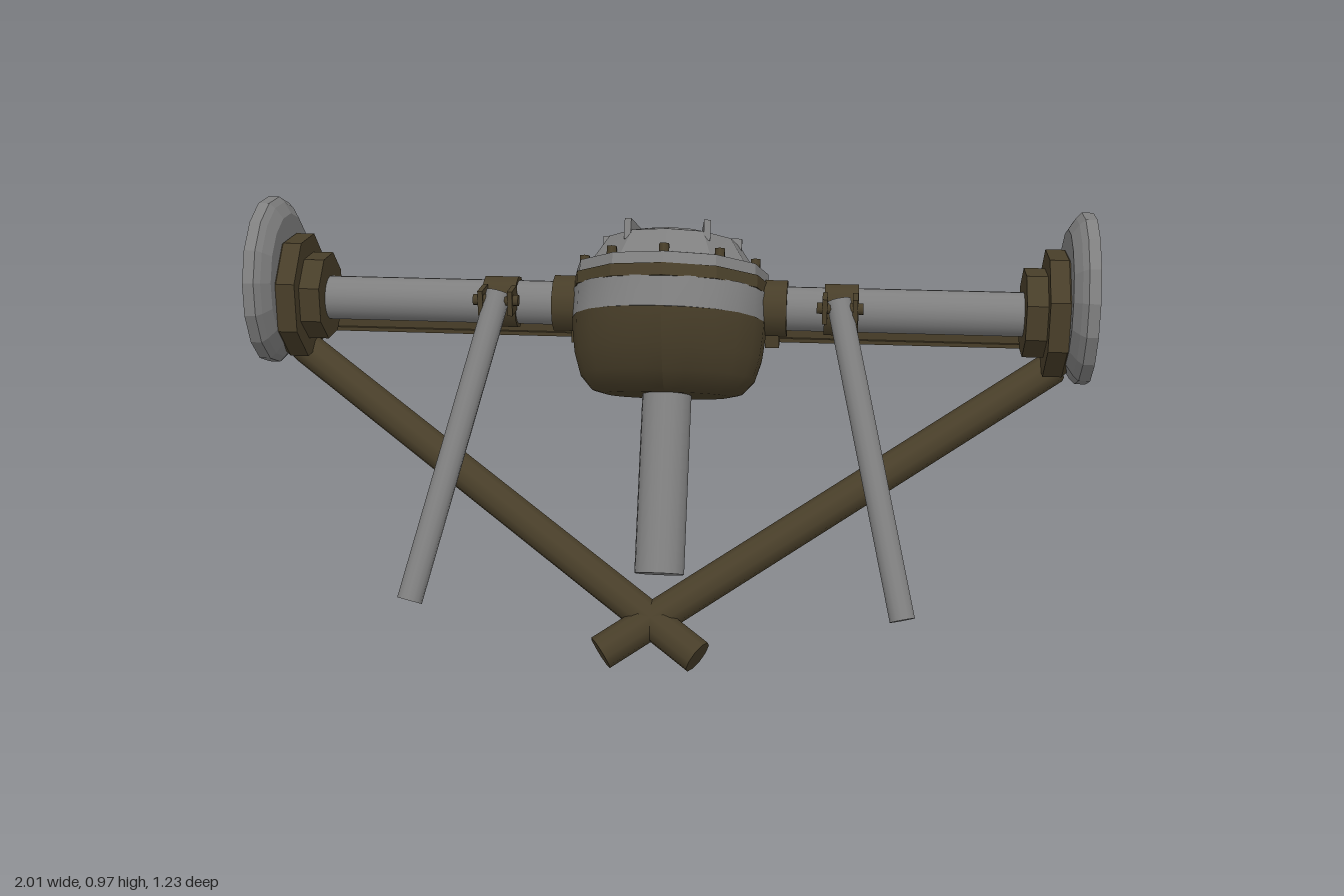
import * as THREE from 'three';

const steel = new THREE.MeshStandardMaterial({ color: 0x7f7f7f });
steel.name = 'steel grey';
const bronze = new THREE.MeshStandardMaterial({ color: 0x483e29 });
bronze.name = 'dark bronze';

const AXLE_Y = 0.73;

function add(parent, name, geo, mat, x = 0, y = 0, z = 0) {
  const m = new THREE.Mesh(geo, mat);
  m.name = name;
  m.position.set(x, y, z);
  parent.add(m);
  return m;
}

// Stack of rings [height, halfWidthX, halfWidthZ], bottom to top, rounded by a superellipse power
function loft(rings, sides, flat, power = 2, turn = 0) {
  const last = rings.length - 1;
  let g = new THREE.CylinderGeometry(1, 1, 1, sides, last);
  const p = g.attributes.position;
  for (let i = 0; i < p.count; i++) {
    const [h, a, b] = rings[Math.round((p.getY(i) + 0.5) * last)];
    const x = p.getX(i), z = p.getZ(i), r = Math.hypot(x, z);
    if (r < 1e-6) { p.setXYZ(i, 0, h, 0); continue; }
    const t = Math.atan2(z, x) + turn, c = Math.cos(t), s = Math.sin(t);
    const k = Math.pow(Math.abs(c) ** power + Math.abs(s) ** power, -1 / power);
    p.setXYZ(i, a * k * c, h, b * k * s);
  }
  if (flat) g = g.toNonIndexed();
  g.computeVertexNormals();
  return g;
}

// Round bar between two points
function rod(parent, name, from, to, radius, mat, sides = 14) {
  const a = new THREE.Vector3(...from), b = new THREE.Vector3(...to);
  const m = add(parent, name, new THREE.CylinderGeometry(radius, radius, a.distanceTo(b), sides), mat);
  m.position.copy(a).add(b).multiplyScalar(0.5);
  m.quaternion.setFromUnitVectors(new THREE.Vector3(0, 1, 0), b.sub(a).normalize());
  return m;
}

// Differential housing, built upright and then tipped backwards
function makeHousing() {
  const g = new THREE.Group();
  g.name = 'differentialHousing';
  add(g, 'housingBowl', loft([
    [-0.222, 0.15, 0.06], [-0.212, 0.185, 0.1], [-0.18, 0.213, 0.145], [-0.13, 0.228, 0.185],
    [-0.08, 0.234, 0.215], [-0.045, 0.236, 0.228],
  ], 24, false, 2.4), bronze);
  add(g, 'housingBand', loft([[-0.045, 0.236, 0.232], [0.027, 0.236, 0.236]], 24, false, 2.3), steel);
  add(g, 'gasketRing', loft([[0.025, 0.243, 0.243], [0.055, 0.243, 0.243]], 12, true, 2.2), bronze);
  add(g, 'cover', loft([
    [0.055, 0.238, 0.24], [0.083, 0.236, 0.238], [0.09, 0.205, 0.208],
    [0.15, 0.165, 0.18], [0.168, 0.1, 0.12],
  ], 12, true, 2.2), steel);

  // Raised ribs across the cover
  for (const s of [-1, 1]) {
    const rib = add(g, 'coverRib', new THREE.BoxGeometry(0.016, 0.05, 0.33), steel, s * 0.075, 0.152, 0);
    rib.rotation.y = s * 0.12;
    add(g, 'coverCrossRib', new THREE.BoxGeometry(0.1, 0.045, 0.016), steel, s * 0.12, 0.142, 0.02);
    add(g, 'coverPlug', new THREE.CylinderGeometry(0.02, 0.02, 0.03, 5), steel, s * 0.11, 0.165, -0.06);
  }
  add(g, 'coverPad', loft([[0.15, 0.07, 0.06], [0.185, 0.055, 0.045]], 4, true, 2, Math.PI / 4), steel, 0, 0, -0.1);

  // Bolts round the cover flange
  for (let i = 0; i < 10; i++) {
    const t = (i + 0.5) / 10 * Math.PI * 2;
    add(g, 'coverBolt', new THREE.CylinderGeometry(0.013, 0.013, 0.025, 6), bronze,
      0.218 * Math.cos(t), 0.092, 0.218 * Math.sin(t));
  }
  rod(g, 'driveShaft', [0, -0.1, 0], [0, -0.655, 0], 0.06, steel, 16);
  g.position.y = AXLE_Y;
  g.rotation.x = -0.454;
  return g;
}

// Everything on one side of the axle; s is +1 or -1
function makeSide(s) {
  const g = new THREE.Group();
  g.name = s > 0 ? 'leftSide' : 'rightSide';
  const Y = AXLE_Y;
  rod(g, 'axleTube', [s * 0.1, Y, 0], [s * 0.9, Y, 0], 0.054, steel, 16);
  rod(g, 'innerCollar', [s * 0.2, Y, 0], [s * 0.285, Y, 0], 0.07, bronze, 12);
  rod(g, 'clampCollar', [s * 0.375, Y, 0], [s * 0.457, Y, 0], 0.064, bronze, 12);

  // Hub steps and wheel disc, lofted outwards
  const hub = add(g, 'hub', loft([
    [0.85, 0.108, 0.108], [0.9, 0.108, 0.108], [0.9, 0.155, 0.145], [0.945, 0.155, 0.145], [0.965, 0.135, 0.13],
  ], 8, true, 2, Math.PI / 8), bronze, 0, Y + 0.005, 0);
  const disc = add(g, 'wheelDisc', loft([
    [0.948, 0.165, 0.165], [0.965, 0.192, 0.192], [0.978, 0.205, 0.205], [1.005, 0.205, 0.205],
  ], 16, true, 2, Math.PI / 16), steel, 0, 0.772, 0);
  hub.rotation.z = disc.rotation.z = -s * Math.PI / 2;

  // Channel bar behind the tube with a bracket at each end
  const len = 0.7, mid = s * 0.585, by = 0.638, bz = -0.138;
  add(g, 'channelWeb', new THREE.BoxGeometry(len, 0.045, 0.012), bronze, mid, by, bz);
  for (const e of [-1, 1])
    add(g, 'channelFlange', new THREE.BoxGeometry(len, 0.01, 0.03), bronze, mid, by + e * 0.024, bz);
  add(g, 'innerBracket', new THREE.BoxGeometry(0.035, 0.07, 0.06), bronze, s * 0.245, 0.635, -0.13);
  add(g, 'outerBracket', new THREE.BoxGeometry(0.05, 0.075, 0.06), bronze, s * 0.935, 0.628, -0.13);

  // Damper with its lugs and pin
  for (const e of [-1, 1])
    add(g, 'damperLug', new THREE.BoxGeometry(0.012, 0.06, 0.07), bronze, s * 0.413 + e * 0.036, 0.755, 0.082);
  rod(g, 'damperPin', [s * 0.413 - 0.055, 0.76, 0.1], [s * 0.413 + 0.055, 0.76, 0.1], 0.014, bronze, 8);
  rod(g, 'damper', [s * 0.409, 0.775, 0.085], [s * 0.577, 0.11, 0.428], 0.03, steel, 14);

  // Control arm crossing under the centre
  rod(g, 'controlArm', [s * 0.935, 0.59, -0.035], [-s * 0.112, 0.038, 0.515], 0.041, bronze, 10);
  return g;
}

export function createModel() {
  const model = new THREE.Group();
  model.name = 'rearAxle';
  const axle = new THREE.Group();
  axle.name = 'axleAssembly';
  axle.add(makeHousing(), makeSide(1), makeSide(-1));
  // The whole axle is turned on the spot
  axle.rotation.y = -0.405;
  axle.position.z = -0.035;
  model.add(axle);
  return model;
}
